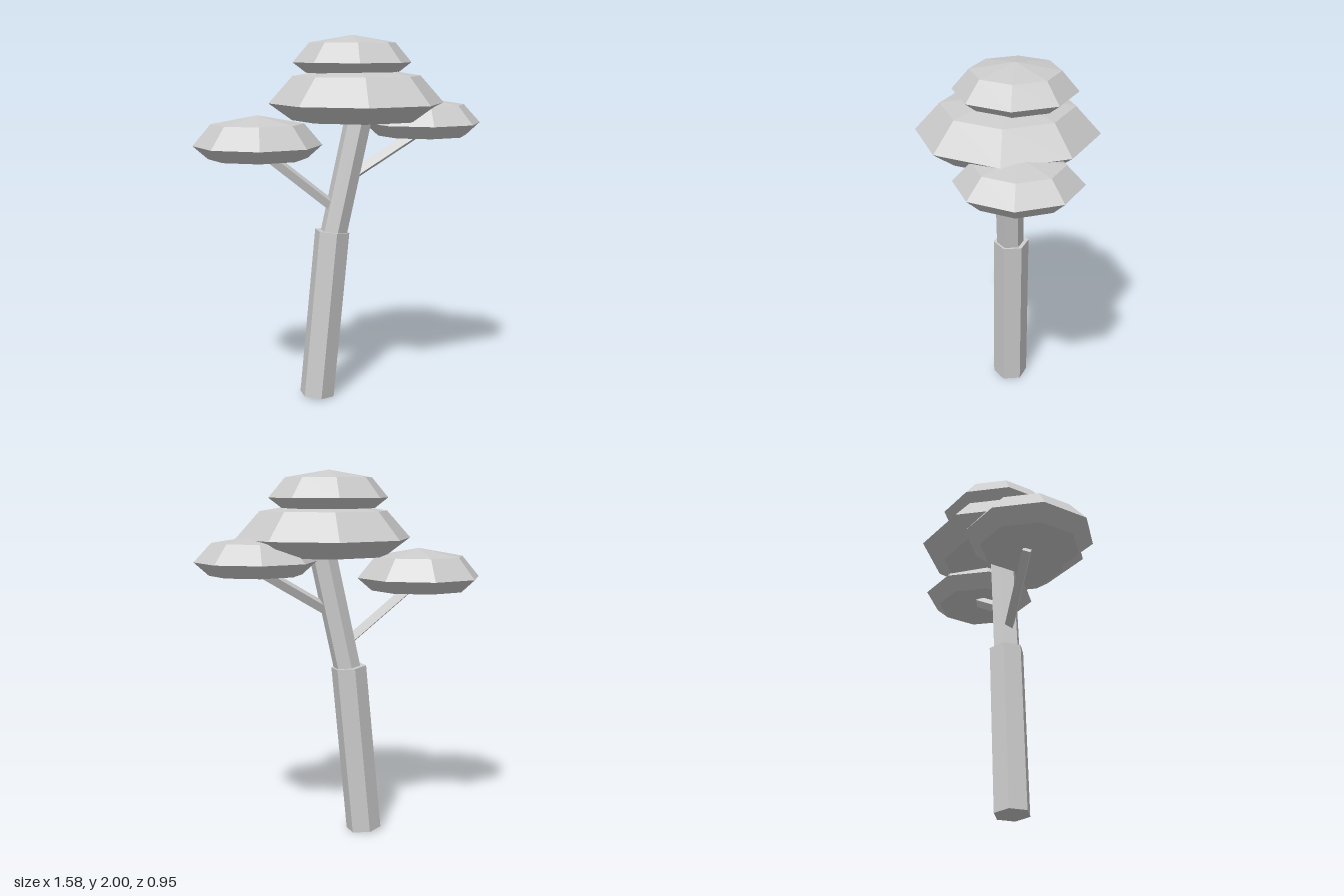
import * as THREE from 'three';

export function createModel() {
  const tree = new THREE.Group();
  tree.name = 'tree';
  const paleGrey = new THREE.MeshStandardMaterial({ color: 0xcccccc, flatShading: true });
  paleGrey.name = 'paleGrey';

  // Straight prism between two points, used for trunk and branches
  function limb(name, from, to, radius, sides, turn) {
    const a = new THREE.Vector3(...from);
    const b = new THREE.Vector3(...to);
    const dir = b.clone().sub(a);
    const geo = new THREE.CylinderGeometry(radius, radius, dir.length(), sides, 1, false, turn);
    const mesh = new THREE.Mesh(geo, paleGrey);
    mesh.name = name;
    mesh.position.copy(a).add(b).multiplyScalar(0.5);
    mesh.quaternion.setFromUnitVectors(new THREE.Vector3(0, 1, 0), dir.normalize());
    tree.add(mesh);
  }

  // Eight-sided leaf cushion: hollowed underside, wide rim, shoulder and shallow peak
  function canopy(name, x, z, [bottomR, rimR, shoulderR], [bottomY, rimY, shoulderY, peakY]) {
    const profile = [
      [0, bottomY + 0.05], [bottomR, bottomY], [rimR, rimY], [shoulderR, shoulderY], [0, peakY],
    ].map(([r, y]) => new THREE.Vector2(r, y));
    const mesh = new THREE.Mesh(new THREE.LatheGeometry(profile, 8), paleGrey);
    mesh.name = name;
    mesh.position.set(x, 0, z);
    tree.add(mesh);
  }

  // Trunk in two leaning sections
  const turn = Math.PI / 18;
  limb('lowerTrunk', [-0.132, 0.01, 0], [-0.043, 0.94, -0.011], 0.097, 6, turn);
  limb('upperTrunk', [-0.042, 0.9, -0.007], [0.104, 1.58, -0.005], 0.074, 6, turn);

  // Side branches
  limb('rightBranch', [-0.03, 1.07, 0], [-0.4, 1.37, 0.03], 0.032, 4, 0.5);
  limb('leftBranch', [0.06, 1.245, 0], [0.45, 1.48, -0.08], 0.033, 4, 0.5);

  // Leaf cushions
  canopy('rightCanopy', -0.445, 0.035, [0.265, 0.345, 0.248], [1.35, 1.42, 1.535, 1.58]);
  canopy('leftCanopy', 0.465, -0.08, [0.245, 0.323, 0.23], [1.455, 1.525, 1.625, 1.66]);
  canopy('middleCanopy', 0.09, 0, [0.35, 0.475, 0.345], [1.55, 1.64, 1.785, 1.84]);
  canopy('topCanopy', 0.07, -0.038, [0.25, 0.322, 0.233], [1.8, 1.855, 1.96, 2.0]);

  return tree;
}
